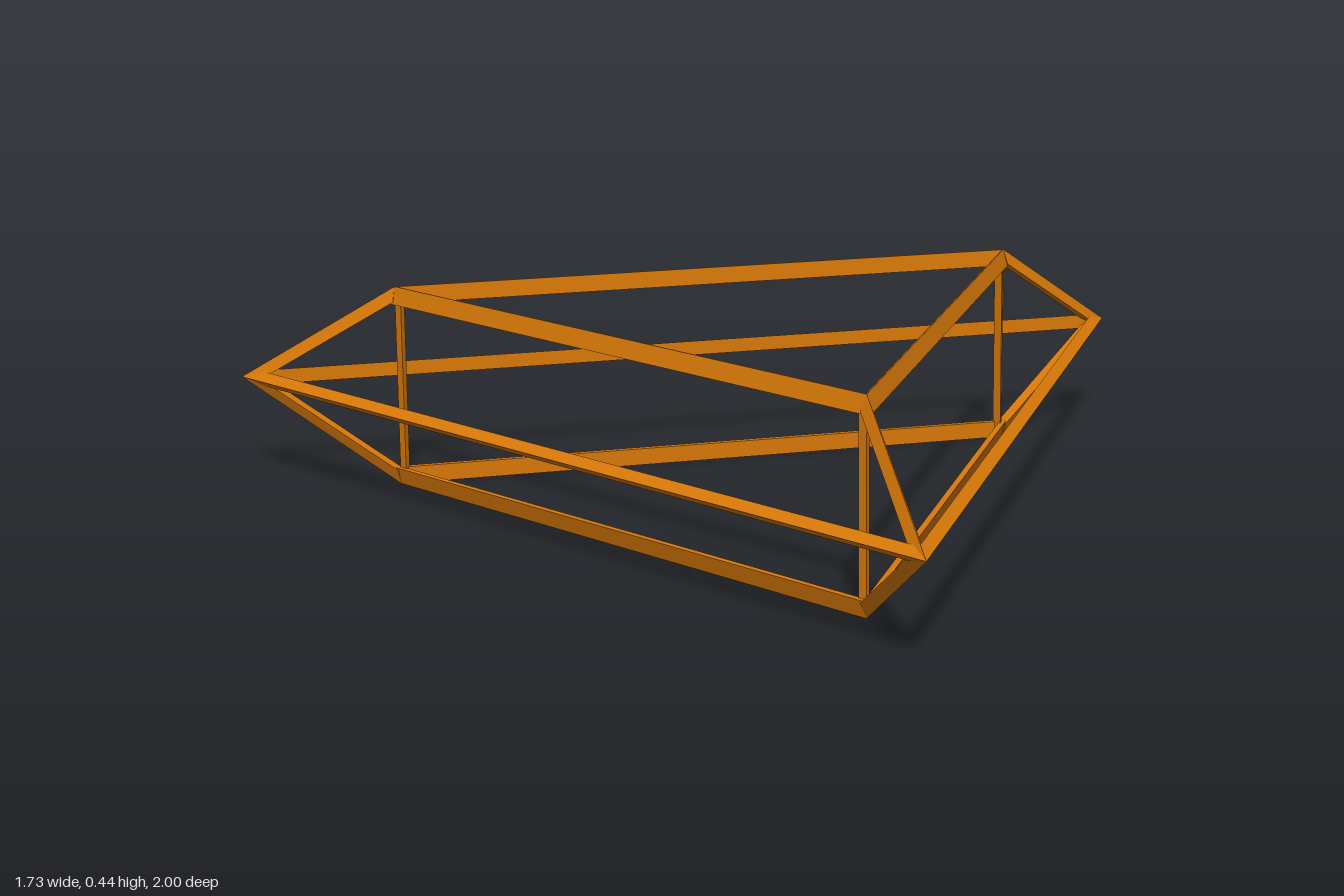
import * as THREE from 'three';

const HALF = 0.218;      // half height
const R_OUT = 1.1547;    // corner radius of the wide middle triangle
const R_IN = 0.795;      // corner radius of the top and bottom triangles

// Mitred triangular frame: a closed [radius, y] section swept round three corners
function triangleRing(section) {
  const pts = [...section, section[0]].map(([r, y]) => new THREE.Vector2(r, y));
  return new THREE.LatheGeometry(pts, 3, Math.PI / 2);
}

// Three-sided bar in the radial plane: ridge on the outside, flat back of width 2w
function ridgedBar(ridgeA, backA, ridgeB, backB, w) {
  const ends = [[ridgeA, backA], [ridgeB, backB]];
  const pos = [];
  for (const [ridge, back] of ends) {
    pos.push(...ridge, 0, ...back, w, ...back, -w);
  }
  const index = [0, 2, 1, 3, 4, 5];
  for (let i = 0; i < 3; i++) {
    const j = (i + 1) % 3;
    index.push(i, j, j + 3, i, j + 3, i + 3);
  }
  const g = new THREE.BufferGeometry();
  g.setAttribute('position', new THREE.Float32BufferAttribute(pos, 3));
  g.setIndex(index);
  const flat = g.toNonIndexed();
  flat.computeVertexNormals();
  return flat;
}

export function createModel() {
  const orange = new THREE.MeshStandardMaterial({ color: 0xd97908, flatShading: true });
  orange.name = 'orange';

  const model = new THREE.Group();
  model.name = 'triangularFrame';
  const frame = new THREE.Group();
  frame.name = 'frame';
  frame.position.set(-R_OUT / 4, HALF, 0);
  model.add(frame);

  const add = (parent, name, geometry) => {
    const mesh = new THREE.Mesh(geometry, orange);
    mesh.name = name;
    parent.add(mesh);
    return mesh;
  };

  // Wide triangle at mid height, ridge outwards
  add(frame, 'middleTriangle', triangleRing([
    [1.113, -0.016], [R_OUT, 0], [1.113, 0.016],
  ]));

  // Smaller triangles above and below, upright on the inside
  const rim = triangleRing([
    [0.788, HALF - 0.037], [0.816, HALF - 0.037], [R_IN, HALF], [0.79, HALF],
  ]);
  add(frame, 'topTriangle', rim);
  add(frame, 'bottomTriangle', rim).rotation.x = Math.PI;

  // Corner bars: one upright and two slanted bars at each corner
  const upright = ridgedBar([R_IN, 0.2], [0.778, 0.2], [R_IN, -0.2], [0.778, -0.2], 0.011);
  const slanted = ridgedBar([R_IN, HALF], [R_IN, HALF - 0.032], [R_OUT, 0], [1.105, 0], 0.013);
  for (let i = 0; i < 3; i++) {
    const corner = new THREE.Group();
    corner.name = 'corner' + (i + 1);
    corner.rotation.y = i * Math.PI * 2 / 3;
    frame.add(corner);
    add(corner, 'upright', upright);
    add(corner, 'upperSlantedBar', slanted);
    add(corner, 'lowerSlantedBar', slanted).rotation.x = Math.PI;
  }
  return model;
}
